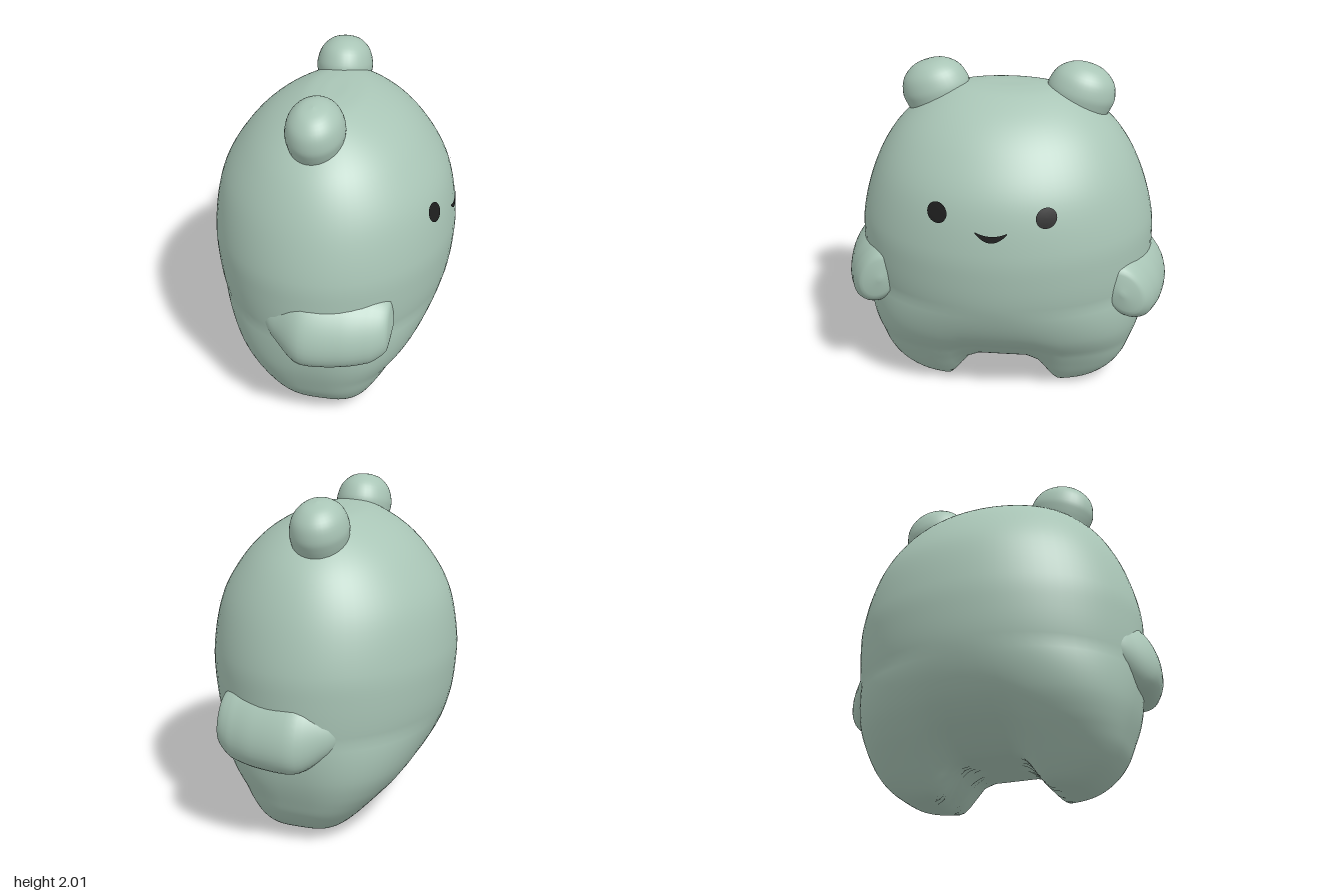
import * as THREE from 'three';
import { mergeVertices } from 'three/addons/utils/BufferGeometryUtils.js';

const skin = new THREE.MeshStandardMaterial({ color: 0xa9c5b6 });
skin.name = 'sage green';
const ink = new THREE.MeshStandardMaterial({ color: 0x1e1e1e });
ink.name = 'black';

// Body profile from top to bottom: half depth (x), height, half width (z)
const profile = new THREE.CatmullRomCurve3([
  [0, 1.88, 0], [0.09, 1.878, 0.2], [0.2, 1.855, 0.35], [0.39, 1.75, 0.53], [0.54, 1.6, 0.68],
  [0.67, 1.38, 0.8], [0.725, 1.1, 0.88], [0.725, 0.93, 0.89], [0.69, 0.7, 0.88], [0.585, 0.45, 0.845],
  [0.46, 0.28, 0.79], [0.39, 0.19, 0.75], [0.32, 0.1, 0.68], [0.25, 0.025, 0.57], [0.18, 0, 0.46], [0, 0, 0],
].map(p => new THREE.Vector3(...p)));

// Skin a list of closed rings into a smooth surface
function loft(rings, flip = false) {
  const n = rings[0].length, index = [];
  for (let i = 0; i < rings.length - 1; i++) {
    for (let j = 0; j < n; j++) {
      const a = i * n + j, b = i * n + (j + 1) % n, c = a + n, d = b + n;
      if (flip) index.push(a, c, b, b, c, d);
      else index.push(a, b, c, b, d, c);
    }
  }
  let geo = new THREE.BufferGeometry();
  geo.setAttribute('position', new THREE.Float32BufferAttribute(rings.flat(2), 3));
  geo.setIndex(index);
  geo = mergeVertices(geo, 1e-5);
  geo.computeVertexNormals();
  return geo;
}

// Egg-shaped body; an arch pushed up along the middle leaves two stubby legs
function bodyGeometry() {
  const rings = [], rows = 90, segs = 72;
  for (let i = 0; i <= rows; i++) {
    const p = profile.getPoint(i / rows), ring = [];
    const power = 2 / (2 + 1.5 * Math.max(0, 1 - p.y / 0.7));
    const shift = 0.05 * Math.max(0, 1 - p.y / 0.3);
    for (let j = 0; j < segs; j++) {
      const t = j / segs * Math.PI * 2, c = Math.cos(t), s = Math.sin(t);
      const x = shift + p.x * Math.sign(c) * Math.abs(c) ** power;
      const z = p.z * Math.sign(s) * Math.abs(s) ** power;
      const arch = 0.19 * (1 - THREE.MathUtils.smoothstep(Math.abs(z), 0.17, 0.36));
      ring.push([x, p.y + arch * Math.max(0, 1 - p.y / 0.6) ** 2, z]);
    }
    rings.push(ring);
  }
  return loft(rings);
}

// Arm pointing forward, made of leaning ellipses along x
function armGeometry(side) {
  const centre = new THREE.CatmullRomCurve3([
    [-0.35, 0.82, 0.72], [-0.22, 0.8, 0.74], [-0.03, 0.78, 0.8], [0.2, 0.77, 0.775],
    [0.36, 0.77, 0.74], [0.45, 0.78, 0.73], [0.475, 0.78, 0.72],
  ].map(p => new THREE.Vector3(...p)));
  const radius = new THREE.CatmullRomCurve3([
    [0, 0], [0.14, 0.11], [0.23, 0.17], [0.22, 0.175], [0.2, 0.16], [0.14, 0.11], [0, 0],
  ].map(([h, w]) => new THREE.Vector3(h, w, 0)));
  const rings = [], rows = 36, segs = 36;
  for (let i = 0; i <= rows; i++) {
    const c = centre.getPoint(i / rows), r = radius.getPoint(i / rows), ring = [];
    for (let j = 0; j < segs; j++) {
      const t = j / segs * Math.PI * 2, dy = r.x * Math.cos(t);
      ring.push([c.x, c.y + dy, side * (c.z + r.y * Math.sin(t) - 0.3 * dy)]);
    }
    rings.push(ring);
  }
  return loft(rings, side < 0);
}

// Depth of the face at a given height and width
function faceX(y, z) {
  let lo = 0, hi = 0.6;
  for (let k = 0; k < 24; k++) {
    const mid = (lo + hi) / 2;
    if (profile.getPoint(mid).y > y) lo = mid; else hi = mid;
  }
  const p = profile.getPoint(lo);
  return p.x * Math.sqrt(Math.max(0, 1 - (z / p.z) ** 2));
}

// Lay a flat shape onto the face as a thin painted patch
function onFace(geo, y, z) {
  geo.rotateY(Math.PI / 2).translate(0, y, z);
  const pos = geo.attributes.position;
  for (let i = 0; i < pos.count; i++) {
    pos.setX(i, faceX(pos.getY(i), pos.getZ(i)) + 0.008);
  }
  geo.computeVertexNormals();
  return geo;
}

export function createModel() {
  const model = new THREE.Group();
  const add = (name, geo, mat) => {
    const mesh = new THREE.Mesh(geo, mat);
    mesh.name = name;
    model.add(mesh);
    return mesh;
  };

  add('body', bodyGeometry(), skin);

  // Ear: rounded knob with a flared base
  const earCurve = new THREE.SplineCurve([
    [0.2, -0.19], [0.162, -0.13], [0.155, -0.08], [0.165, -0.02], [0.168, 0.04],
    [0.142, 0.12], [0.08, 0.177], [0, 0.195],
  ].map(p => new THREE.Vector2(...p)));
  const earPoints = earCurve.getPoints(28);
  earPoints.forEach(p => { p.x = Math.max(0, p.x); });

  for (const side of [1, -1]) {
    const label = side > 0 ? 'left' : 'right';
    const ear = add(label + 'Ear', new THREE.LatheGeometry(earPoints, 36).scale(1, 1, 1.2), skin);
    ear.position.set(-0.035, 1.807, side * 0.425);
    ear.rotation.x = side * 0.28;

    const arm = add(label + 'Arm', armGeometry(side), skin);
    if (side < 0) arm.position.y = -0.025;

    add(label + 'Eye', onFace(new THREE.RingGeometry(0, 0.058, 28, 4), 1.318, 0.028 + side * 0.308), ink);
  }

  // Smile: a strip bent into a crescent
  const smile = new THREE.PlaneGeometry(2, 2, 16, 2);
  const pos = smile.attributes.position;
  for (let i = 0; i < pos.count; i++) {
    const u = pos.getX(i), v = pos.getY(i);
    pos.setXY(i, u * 0.09, 0.035 * u * u + v * (0.004 + 0.015 * (1 - u * u)));
  }
  add('smile', onFace(smile, 1.2, 0.025), ink);

  return model;
}
